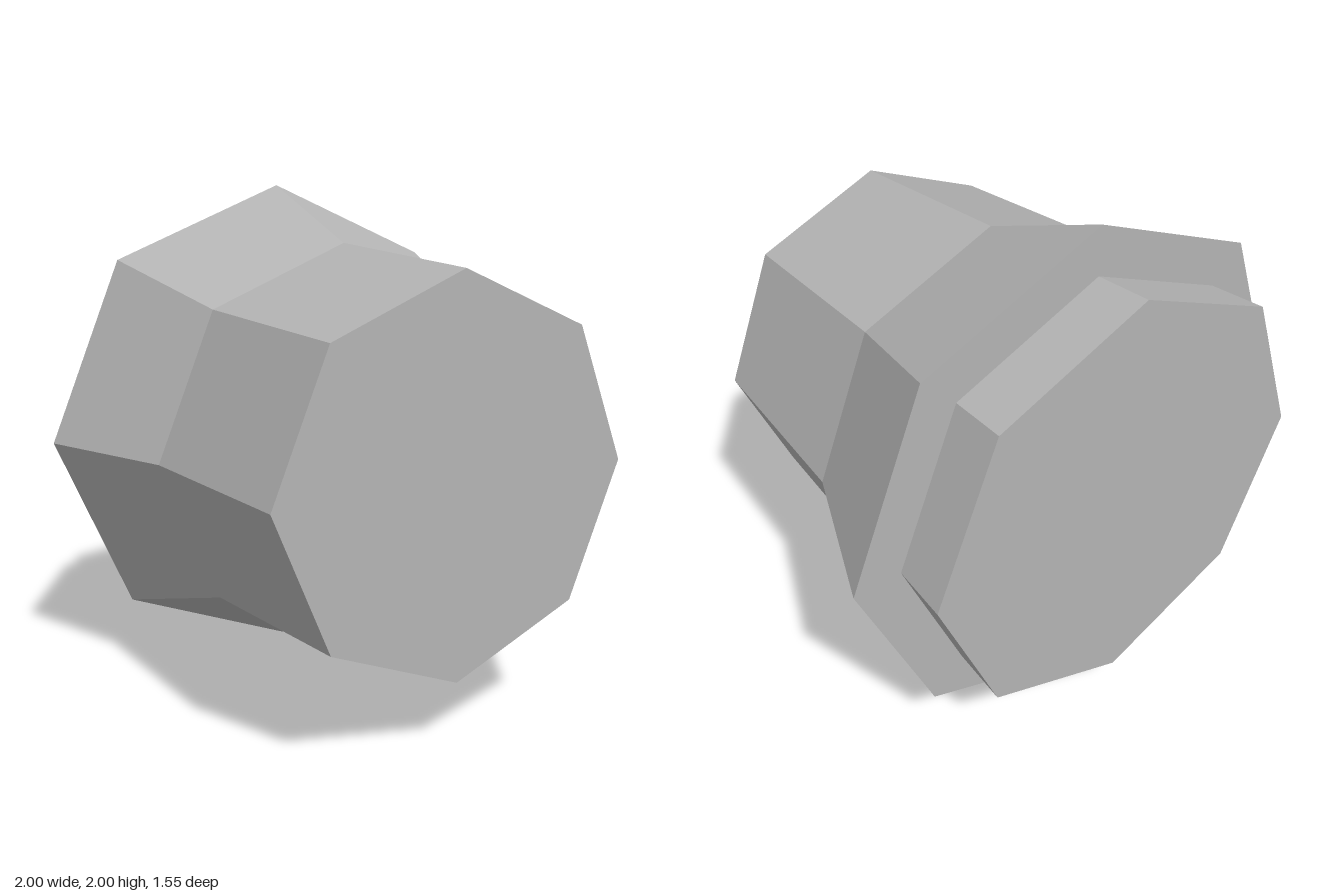
import * as THREE from 'three';

export function createModel() {
  const group = new THREE.Group();
  const grey = new THREE.MeshStandardMaterial({ color: 0xb4b4b4, flatShading: true });
  grey.name = 'grey';

  // Eight-sided shell along z from [radius, z] points, listed back to front
  function addPart(name, profile) {
    const points = profile.map(([r, z]) => new THREE.Vector2(r, z));
    const geometry = new THREE.LatheGeometry(points, 8);
    geometry.rotateX(Math.PI / 2);
    const mesh = new THREE.Mesh(geometry, grey);
    mesh.name = name;
    mesh.position.y = 1;
    group.add(mesh);
  }

  // Short plug with the closed back end
  addPart('backPlug', [[0, -0.777], [0.832, -0.777], [0.817, -0.555]]);
  // Collar with its rear step, narrowing towards the front
  addPart('flaredCollar', [[0.817, -0.555], [1, -0.555], [0.777, 0]]);
  // Tapered barrel with the closed front end
  addPart('frontBarrel', [[0.777, 0], [0.72, 0.777], [0, 0.777]]);

  return group;
}
